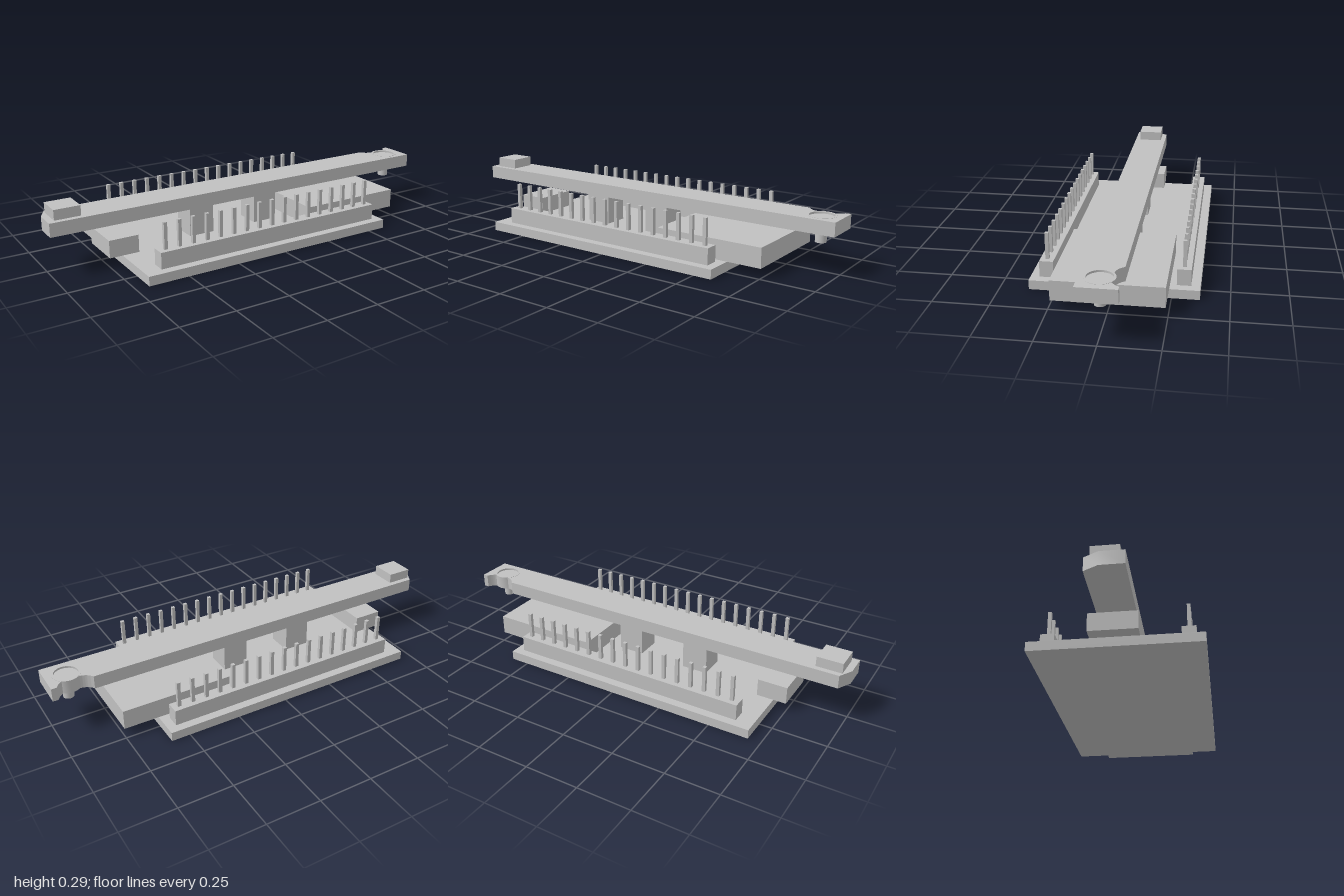
import * as THREE from 'three';
import { toCreasedNormals } from 'three/addons/utils/BufferGeometryUtils.js';

export function createModel() {
  const model = new THREE.Group();
  const grey = new THREE.MeshStandardMaterial({ color: 0xc0c0c0 });
  grey.name = 'light grey';

  function add(name, geometry, parent = model) {
    const mesh = new THREE.Mesh(geometry, grey);
    mesh.name = name;
    parent.add(mesh);
    return mesh;
  }
  // Box given by its limits on each axis
  function box(name, x0, x1, y0, y1, z0, z1, parent) {
    const g = new THREE.BoxGeometry(x1 - x0, y1 - y0, z1 - z0);
    g.translate((x0 + x1) / 2, (y0 + y1) / 2, (z0 + z1) / 2);
    return add(name, g, parent);
  }

  // Base board with the blocks mounted on it
  const boardTop = 0.043;
  box('baseBoard', -0.69, 0.588, 0, boardTop, -0.371, 0.371);
  box('largeConnector', 0.225, 0.75, boardTop, 0.135, -0.24, 0.24);
  box('smallConnector', -0.75, -0.61, boardTop, 0.125, -0.105, 0.105);

  // Two pin headers, mirrored front to back
  for (const side of [-1, 1]) {
    const header = new THREE.Group();
    header.name = side > 0 ? 'frontHeader' : 'backHeader';
    model.add(header);
    const z = side * 0.3;
    box('headerStrip', -0.612, 0.547, boardTop, 0.118, z - 0.031, z + 0.031, header);
    for (let i = 0; i < 17; i++) {
      const x = -0.576 + i * 0.0681;
      box('pin', x - 0.008, x + 0.008, 0.118, 0.241, z - 0.008, z + 0.008, header);
    }
  }

  // Posts carrying the bar
  box('leftPost', -0.327, -0.203, boardTop, 0.185, -0.06, 0.06);
  box('rightPost', 0.027, 0.15, boardTop, 0.185, -0.06, 0.06);

  // Long bar: chamfered at one end, notched round the screw at the other
  const cx = 0.905;
  const outline = new THREE.Shape();
  outline.moveTo(-1, 0.085);
  outline.lineTo(-1, -0.02);
  outline.lineTo(-0.965, -0.085);
  outline.lineTo(0.81, -0.085);
  outline.quadraticCurveTo(0.83, -0.05, cx - 0.033, -0.05);
  outline.absarc(cx, 0, 0.06, -2.154, -0.987, true);
  outline.quadraticCurveTo(0.957, -0.055, 0.975, -0.085);
  outline.lineTo(1, -0.085);
  outline.lineTo(1, 0.085);
  const bar = new THREE.ExtrudeGeometry(outline, { depth: 0.063, bevelEnabled: false, curveSegments: 20 });
  bar.rotateX(Math.PI / 2);
  bar.translate(0, 0.248, 0);
  add('topBar', toCreasedNormals(bar, 0.6));

  // Button on the bar
  box('button', -0.97, -0.85, 0.248, 0.295, -0.06, 0.06);

  // Screw collar with a shallow recess, and its pin below
  const profile = [[0, 0.185], [0.064, 0.185], [0.064, 0.249], [0.055, 0.249], [0.055, 0.24], [0, 0.24]];
  const collar = new THREE.LatheGeometry(profile.map(([r, y]) => new THREE.Vector2(r, y)), 32);
  add('screwCollar', toCreasedNormals(collar, 0.6)).position.x = cx;
  add('screwPin', new THREE.CylinderGeometry(0.025, 0.025, 0.06, 24)).position.set(cx, 0.16, 0);

  return model;
}
